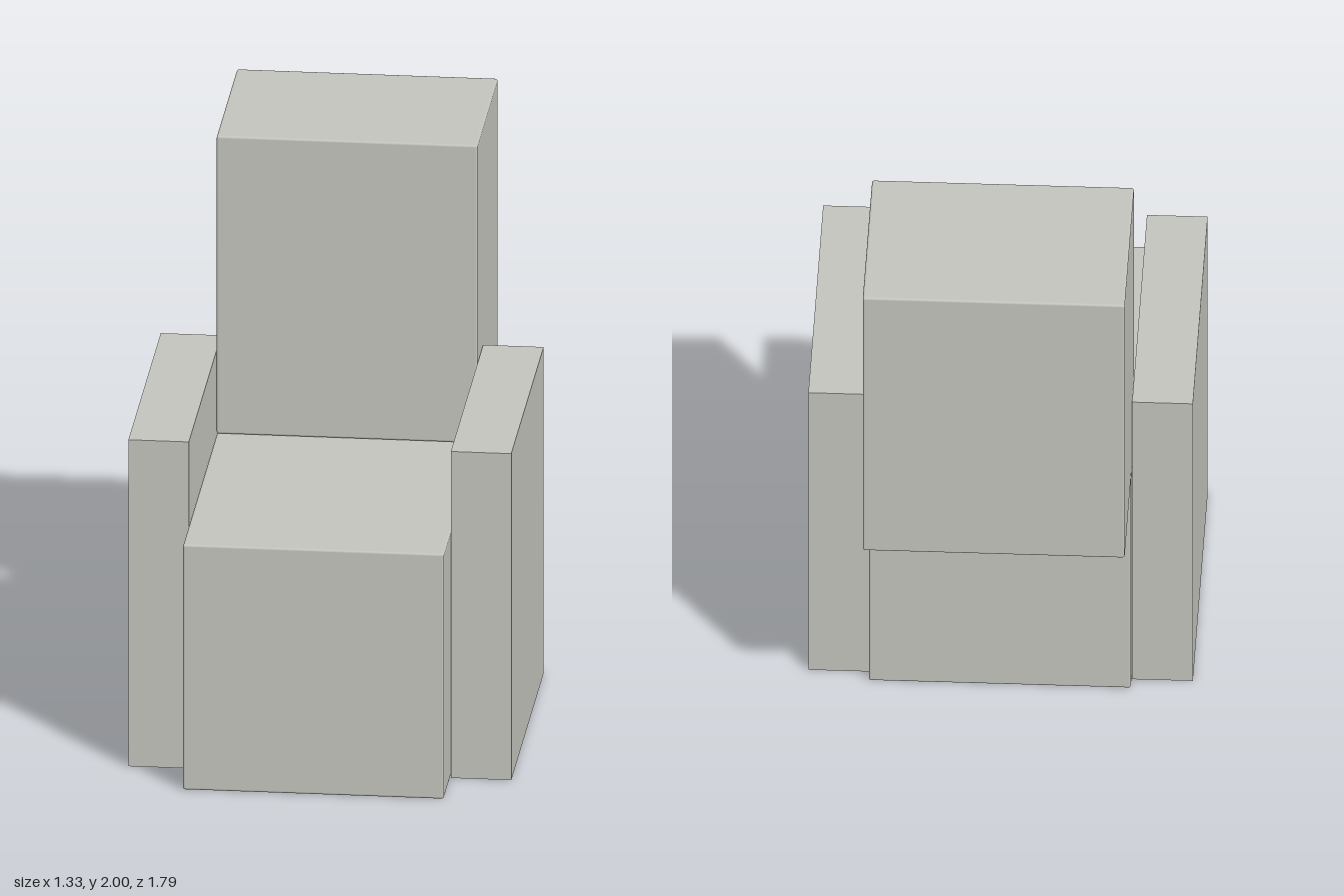
import * as THREE from 'three';
import { RoundedBoxGeometry } from 'three/addons/geometries/RoundedBoxGeometry.js';

export function createModel() {
  const armchair = new THREE.Group();
  armchair.name = 'armchair';

  const upholstery = new THREE.MeshStandardMaterial({ color: 0xc4c4bd });
  upholstery.name = 'warm grey upholstery';

  // Places a block by its extents; a radius softens its edges
  function block(name, [x0, x1], [y0, y1], [z0, z1], radius = 0) {
    const size = [x1 - x0, y1 - y0, z1 - z0];
    const geometry = radius
      ? new RoundedBoxGeometry(...size, 2, radius)
      : new THREE.BoxGeometry(...size);
    const mesh = new THREE.Mesh(geometry, upholstery);
    mesh.name = name;
    mesh.position.set((x0 + x1) / 2, (y0 + y1) / 2, (z0 + z1) / 2);
    armchair.add(mesh);
  }

  // Seat block and the tall backrest overhanging behind it
  block('seat', [-0.453, 0.453], [0, 0.902], [-0.445, 0.893], 0.008);
  block('backrest', [-0.453, 0.453], [0.904, 2], [-0.893, -0.215], 0.008);

  // Armrest slabs reaching down to the floor
  block('leftArmrest', [0.455, 0.665], [0, 1.202], [-0.392, 0.678]);
  block('rightArmrest', [-0.665, -0.455], [0, 1.202], [-0.392, 0.678]);

  return armchair;
}
